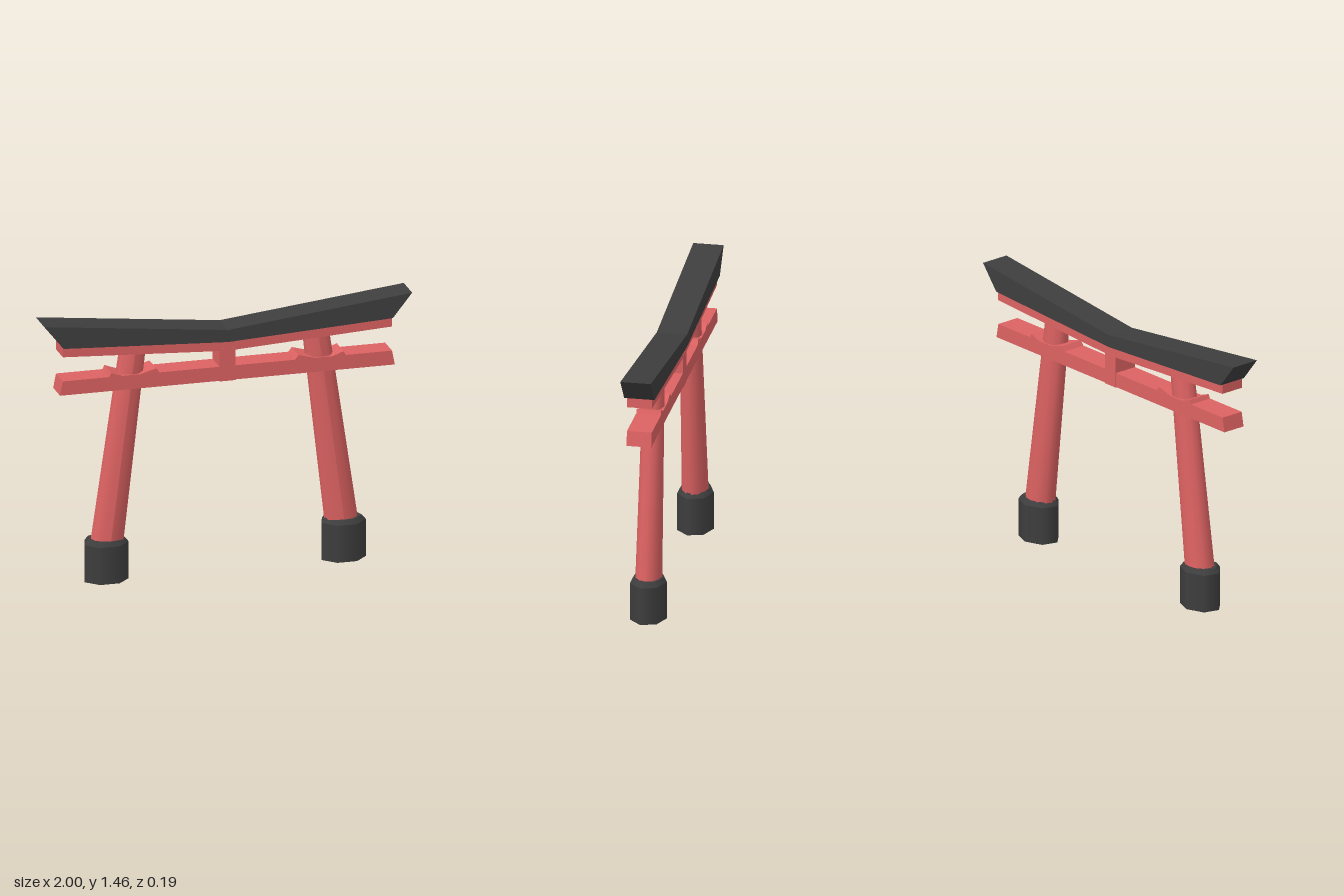
import * as THREE from 'three';

const red = new THREE.MeshStandardMaterial({ color: 0xdd6262 });
const dark = new THREE.MeshStandardMaterial({ color: 0x3e3e3e });

function add(group, name, geometry, material) {
  const mesh = new THREE.Mesh(geometry, material);
  mesh.name = name;
  group.add(mesh);
  return mesh;
}

// Extrudes a front outline symmetrically about z = 0
function slab(points, halfDepth) {
  const shape = new THREE.Shape(points.map(([x, y]) => new THREE.Vector2(x, y)));
  const geometry = new THREE.ExtrudeGeometry(shape, { depth: 2 * halfDepth, bevelEnabled: false });
  return geometry.translate(0, 0, -halfDepth);
}

// Mirrors the right half of an outline (bottom centre to top centre) across x = 0
function mirrored(half) {
  const other = half.filter(([x]) => x > 0).reverse().map(([x, y]) => [-x, y]);
  return slabPoints(half, other);
}
const slabPoints = (a, b) => [...a, ...b];

// Leaning, tapered, slightly flattened column
function pillar(side) {
  const y0 = 0.2, y1 = 1.275;
  const geometry = new THREE.CylinderGeometry(0.073, 0.091, y1 - y0, 12, 1);
  geometry.scale(1, 1, 0.79).translate(0, (y0 + y1) / 2, 0);
  const p = geometry.attributes.position;
  for (let i = 0; i < p.count; i++) {
    const t = (p.getY(i) - y0) / (y1 - y0);
    p.setX(i, p.getX(i) + side * THREE.MathUtils.lerp(0.638, 0.497, t));
  }
  geometry.computeVertexNormals();
  return geometry;
}

// Seven-sided foot: straight wall with a chamfered top
function foot(group, side) {
  const sections = [
    ['footWall', 0.1, 0.1, 0, 0.205],
    ['footChamfer', 0.083, 0.1, 0.205, 0.23],
  ];
  for (const [name, top, bottom, y0, y1] of sections) {
    const geometry = new THREE.CylinderGeometry(top, bottom, y1 - y0, 7, 1);
    geometry.rotateY(Math.PI).scale(1.23, 1, 0.98).translate(side * 0.645, (y0 + y1) / 2, 0);
    add(group, name, geometry, dark);
  }
}

export function createModel() {
  const model = new THREE.Group();
  model.name = 'gate';

  // Roof beam with upswept, slanted ends
  add(model, 'roofBeam', slab(mirrored([[0, 1.278], [0.895, 1.325], [1, 1.456], [0, 1.345]]), 0.081), dark);

  // Red beam hugging the roof's underside
  add(model, 'upperBeam', slab(mirrored([[0, 1.225], [0.895, 1.274], [0.895, 1.326], [0, 1.279]]), 0.067), red);

  // Straight tie beam and the short post above it
  add(model, 'lowerBeam', slab(mirrored([[0, 1.062], [0.91, 1.062], [0.895, 1.14], [0, 1.14]]), 0.066), red);
  const post = new THREE.BoxGeometry(0.086, 0.18, 0.136).translate(0, 1.149, 0);
  add(model, 'centrePost', post, red);

  for (const side of [-1, 1]) {
    const leg = new THREE.Group();
    leg.name = side > 0 ? 'leftLeg' : 'rightLeg';
    model.add(leg);
    add(leg, 'pillar', pillar(side), red);
    foot(leg, side);

    // Wedges locking the tie beam on both sides of the pillar
    const wedges = [
      [[0.53, 1.125], [0.65, 1.125], [0.632, 1.162]],
      [[0.36, 1.13], [0.53, 1.125], [0.387, 1.164]],
    ];
    for (const outline of wedges) {
      add(leg, 'wedge', slab(outline.map(([x, y]) => [side * x, y]), 0.0655), red);
    }
  }
  return model;
}
